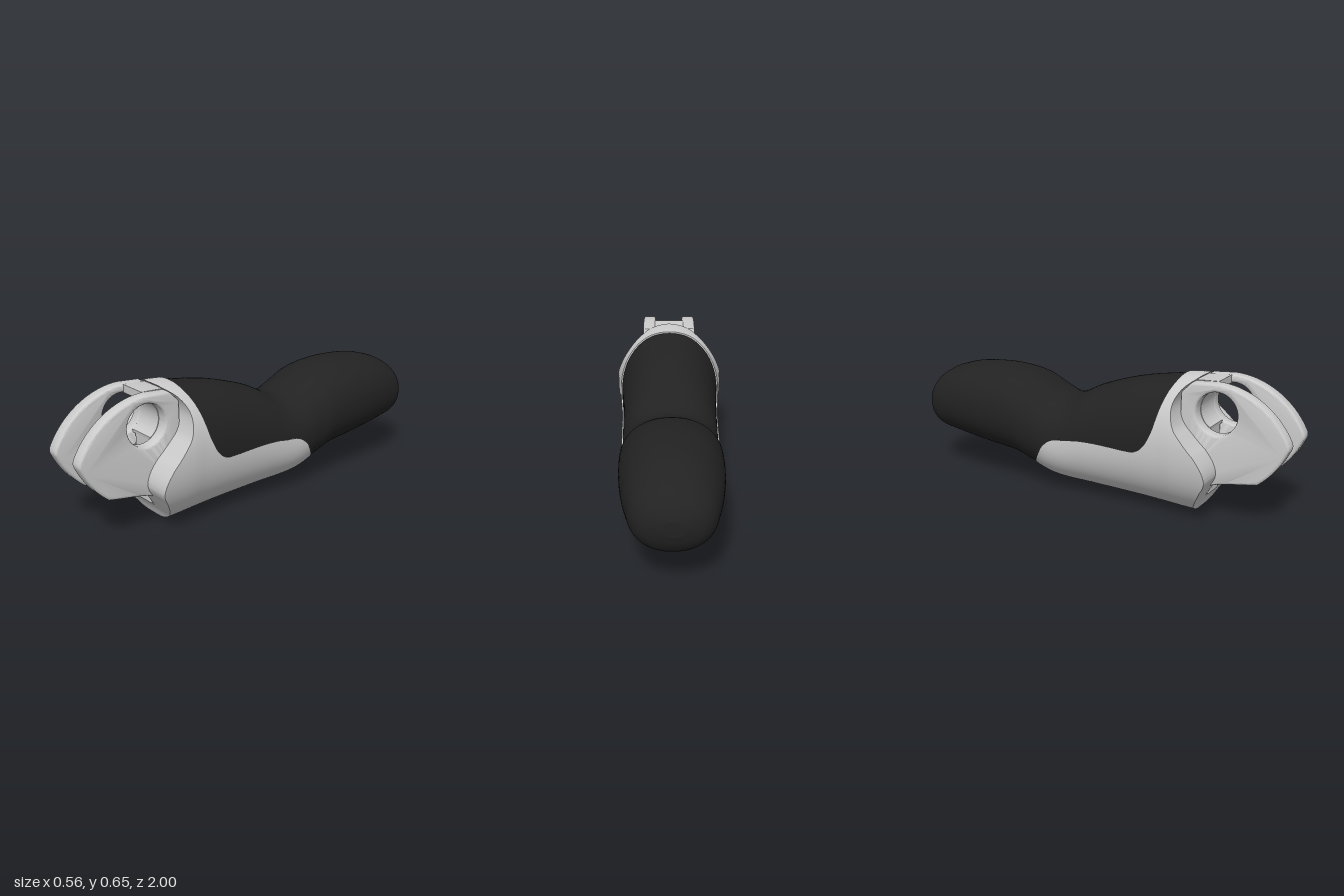
import * as THREE from 'three';
import { toCreasedNormals } from 'three/addons/utils/BufferGeometryUtils.js';
import { RoundedBoxGeometry } from 'three/addons/geometries/RoundedBoxGeometry.js';

// Smooth curve through [z, value] knots
function profile(knots) {
  const slope = i => {
    const a = knots[Math.max(i - 1, 0)], b = knots[Math.min(i + 1, knots.length - 1)];
    return (b[1] - a[1]) / (b[0] - a[0]);
  };
  return z => {
    z = THREE.MathUtils.clamp(z, knots[0][0], knots[knots.length - 1][0]);
    let i = 0;
    while (i < knots.length - 2 && z > knots[i + 1][0]) i++;
    const [z0, a] = knots[i], [z1, b] = knots[i + 1], d = z1 - z0, t = (z - z0) / d;
    const t2 = t * t, t3 = t2 * t;
    return a * (2 * t3 - 3 * t2 + 1) + b * (3 * t2 - 2 * t3)
      + d * (slope(i) * (t3 - 2 * t2 + t) + slope(i + 1) * (t3 - t2));
  };
}

// Top line, bottom line and half width of the handle along z
const top = profile([[-1, 0.39], [-0.985, 0.43], [-0.95, 0.475], [-0.9, 0.51], [-0.85, 0.533], [-0.75, 0.56],
  [-0.6, 0.573], [-0.5, 0.57], [-0.4, 0.555], [-0.3, 0.52], [-0.22, 0.482], [-0.16, 0.47], [-0.1, 0.485],
  [0, 0.535], [0.2, 0.6], [0.4, 0.637], [0.48, 0.647], [0.56, 0.65], [0.7, 0.65]]);
const bottom = profile([[-1, 0.32], [-0.985, 0.27], [-0.95, 0.22], [-0.9, 0.195], [-0.85, 0.186], [-0.6, 0.15],
  [-0.42, 0.125], [-0.31, 0.08], [-0.2, 0.045], [0, 0.03], [0.3, 0.014], [0.54, 0], [0.7, 0]]);
const width = profile([[-1, 0.05], [-0.99, 0.09], [-0.97, 0.135], [-0.92, 0.178], [-0.85, 0.2], [-0.75, 0.22],
  [-0.6, 0.235], [-0.4, 0.239], [0, 0.24], [0.2, 0.245], [0.4, 0.259], [0.5, 0.272], [0.66, 0.283], [0.7, 0.283]]);

// Point on the handle surface; phi runs from -90 (bottom) to 90 degrees (top)
const POWER = 2.15;
const bend = (v, p) => Math.sign(v) * Math.abs(v) ** p;
function surface(z, phi, scale = 1) {
  const c = (top(z) + bottom(z)) / 2, h = (top(z) - bottom(z)) / 2;
  return [width(z) * scale * bend(Math.cos(phi), 2 / POWER), c + h * scale * bend(Math.sin(phi), 2 / POWER), z];
}
function angleAt(z, y) {
  const c = (top(z) + bottom(z)) / 2, h = (top(z) - bottom(z)) / 2;
  return Math.asin(bend(THREE.MathUtils.clamp((y - c) / h, -1, 1), POWER / 2));
}

// Grid of points joined into quads
function grid(rows, cols, point) {
  const pos = [], index = [];
  for (let i = 0; i <= rows; i++) for (let j = 0; j <= cols; j++) {
    pos.push(...point(i, j));
    if (i < rows && j < cols) {
      const a = i * (cols + 1) + j, b = a + cols + 1;
      index.push(a, b, a + 1, b, b + 1, a + 1);
    }
  }
  const g = new THREE.BufferGeometry();
  g.setAttribute('position', new THREE.Float32BufferAttribute(pos, 3));
  g.setIndex(index);
  g.computeVertexNormals();
  return g;
}

// Shell edges, bottom to top: front z, y and rear z, y
const EDGES = [
  [0.54, 0, -0.32, 0], [0.56, 0.035, -0.31, 0.1], [0.59, 0.085, -0.28, 0.14], [0.63, 0.15, -0.24, 0.195],
  [0.655, 0.19, -0.2, 0.25], [0.663, 0.225, -0.13, 0.285], [0.65, 0.27, 0, 0.287], [0.62, 0.315, 0.2, 0.283],
  [0.58, 0.355, 0.29, 0.295], [0.54, 0.395, 0.35, 0.335], [0.5, 0.44, 0.385, 0.4], [0.477, 0.5, 0.4, 0.45],
  [0.475, 0.55, 0.415, 0.52], [0.495, 0.6, 0.43, 0.58], [0.535, 0.637, 0.445, 0.625], [0.555, 1, 0.45, 1]];
const edge = k => new THREE.SplineCurve(EDGES.map(e => new THREE.Vector2(e[k], angleAt(e[k], e[k + 1]))));
const frontEdge = edge(0), rearEdge = edge(2);

// Side outline (z, y) extruded across x and centred on the given x
function slab(shape, thickness, x, bevel) {
  const g = new THREE.ExtrudeGeometry(shape, {
    depth: thickness - 2 * bevel, curveSegments: 32, bevelEnabled: bevel > 0,
    bevelThickness: bevel, bevelSize: bevel, bevelOffset: -bevel, bevelSegments: 4 });
  g.rotateY(-Math.PI / 2);
  g.translate(x + thickness / 2 - bevel, 0, 0);
  return toCreasedNormals(g, 0.6);
}

export function createModel() {
  const model = new THREE.Group();
  const grey = new THREE.MeshStandardMaterial({ color: 0xcccccc, side: THREE.DoubleSide });
  const black = new THREE.MeshStandardMaterial({ color: 0x222222, side: THREE.DoubleSide });
  const add = (name, geometry, material = grey) => {
    const m = new THREE.Mesh(geometry, material);
    m.name = name;
    model.add(m);
  };

  // Soft grip, slightly sunk where the shell covers it, closed at the rear
  const rows = 110, around = 72;
  add('grip', grid(rows, around, (i, j) => {
    const z = -1 + 1.46 * (Math.max(i - 1, 0) / (rows - 1)) ** 1.5;
    if (i === 0) return [0, (top(-1) + bottom(-1)) / 2, -1];
    const a = j / around * Math.PI * 2;
    const p = surface(z, Math.asin(Math.sin(a)), 1 - 0.025 * THREE.MathUtils.smoothstep(z, -0.37, -0.3));
    return [Math.cos(a) < 0 ? -p[0] : p[0], p[1], z];
  }), black);

  // Shell skin wrapping under the grip, and the rim that steps in to it
  const n = 80;
  const skin = (i, s, scale) => {
    const u = i / n - 1, t = Math.abs(u);
    const f = frontEdge.getPoint(t), r = rearEdge.getPoint(t), q = f.lerp(r, s);
    const p = surface(q.x, q.y, scale);
    return [u < 0 ? -p[0] : p[0], p[1], p[2]];
  };
  add('shell', grid(2 * n, 40, (i, j) => skin(i, j / 40, 1)));
  add('shellRim', grid(2 * n, 1, (i, j) => skin(i, 1, j ? 0.94 : 1)));

  // Curved front face of the shell with a slot between the prongs
  const slot = 0.066;
  const face = grid(n, 5, (i, j) => {
    const f = frontEdge.getPoint(i / n), p = surface(f.x, f.y);
    const x = j === 0 || j === 5 ? p[0] : Math.min(p[0], slot);
    const inSlot = (j === 2 || j === 3) && p[1] > 0.08;
    return [j < 3 ? -x : x, p[1], inSlot ? Math.min(p[2], 0.57) : p[2]];
  });
  add('shellFace', toCreasedNormals(face, 0.5));

  // Pair of prongs with a pin hole
  const prong = new THREE.Shape();
  prong.moveTo(0.47, 0.15);
  prong.lineTo(0.62, 0.15);
  prong.bezierCurveTo(0.68, 0.18, 0.76, 0.18, 0.86, 0.2);
  prong.quadraticCurveTo(0.95, 0.27, 0.996, 0.375);
  prong.quadraticCurveTo(1.003, 0.39, 0.994, 0.41);
  prong.bezierCurveTo(0.93, 0.54, 0.79, 0.635, 0.64, 0.638);
  prong.lineTo(0.53, 0.63);
  prong.lineTo(0.48, 0.58);
  prong.closePath();
  prong.holes.push(new THREE.Path().absarc(0.655, 0.5, 0.1, 0, Math.PI * 2, true));
  for (const [name, side] of [['leftProng', 1], ['rightProng', -1]])
    add(name, slab(prong, 0.066, side * 0.103, 0.012));

  // Web joining the prongs, hollowed by the pin bore
  const web = new THREE.Shape();
  web.moveTo(0.45, 0.4);
  web.lineTo(0.45, 0.6);
  web.lineTo(0.53, 0.632);
  web.lineTo(0.64, 0.637);
  web.lineTo(0.64, 0.599);
  web.absarc(0.655, 0.5, 0.1, 1.72, 4.15, false);
  web.lineTo(0.6, 0.4);
  web.closePath();
  add('prongWeb', slab(web, 0.15, 0, 0));

  // Flat block at the bottom of the slot
  const block = new RoundedBoxGeometry(0.12, 0.335, 0.1, 4, 0.015);
  block.translate(0, 0.2475, 0.55);
  add('slotBlock', block);
  return model;
}
